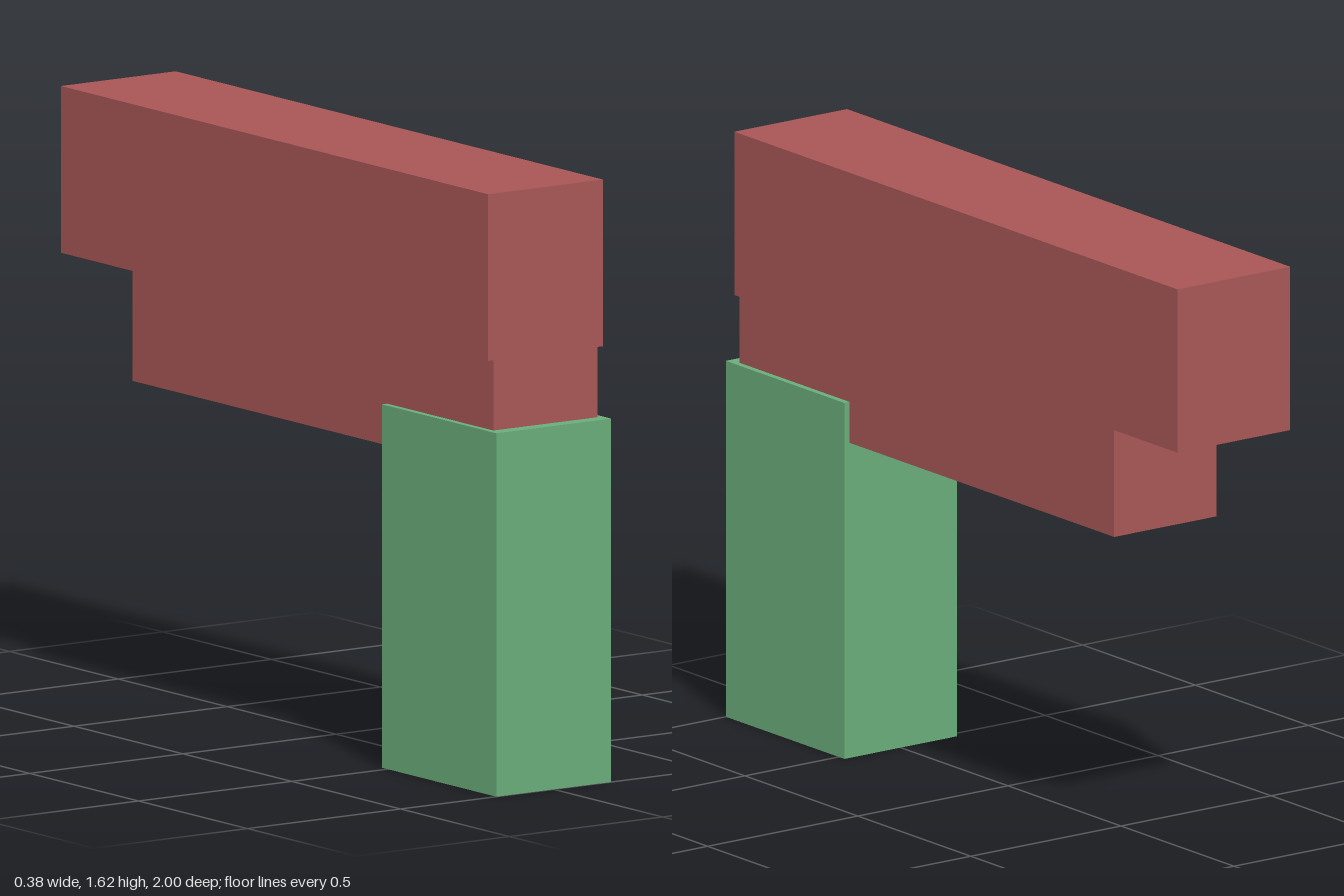
import * as THREE from 'three';

export function createModel() {
  const model = new THREE.Group();
  const red = new THREE.MeshStandardMaterial({ color: 0xa85656 });
  red.name = 'dull red';
  const green = new THREE.MeshStandardMaterial({ color: 0x6aac7a });
  green.name = 'soft green';

  // Box symmetric in x, given by its y and z extents
  const addBlock = (name, material, width, [y0, y1], [z0, z1]) => {
    const mesh = new THREE.Mesh(new THREE.BoxGeometry(width, y1 - y0, z1 - z0), material);
    mesh.position.set(0, (y0 + y1) / 2, (z0 + z1) / 2);
    mesh.name = name;
    model.add(mesh);
  };

  addBlock('upperBeam', red, 0.375, [1.173, 1.624], [-1, 0.962]);
  addBlock('lowerBeam', red, 0.34, [0.87, 1.173], [-0.696, 0.962]);
  addBlock('uprightHandle', green, 0.375, [0, 0.983], [0.475, 1]);

  return model;
}
